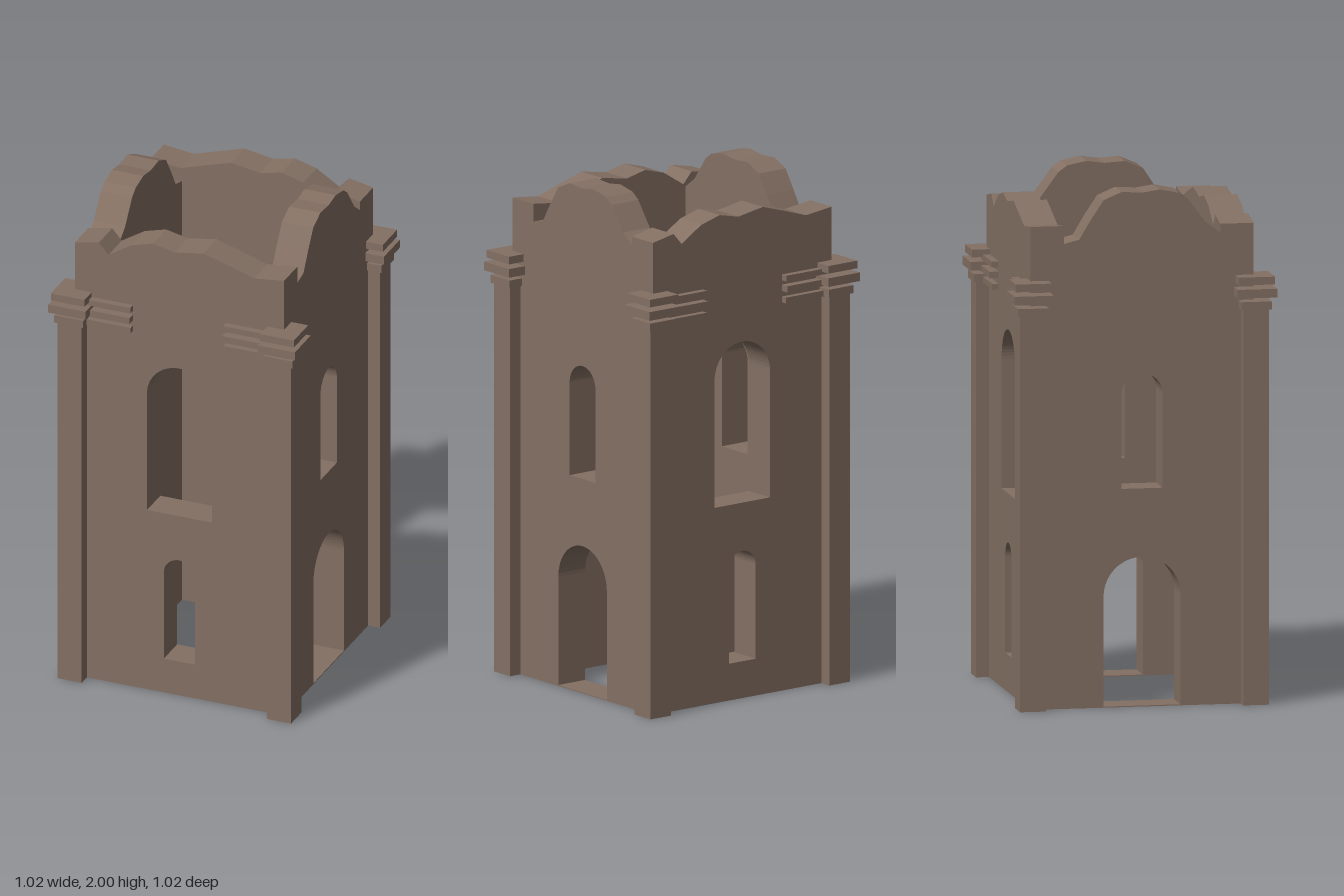
import * as THREE from 'three';

const OUT = 0.435, THICK = 0.13, IN = OUT - THICK;

// Round-headed opening: half width, sill height, crown height
function archHole(w, y0, y1) {
  const p = new THREE.Path();
  p.moveTo(-w, y0);
  p.lineTo(w, y0);
  p.lineTo(w, y1 - w);
  p.absarc(0, y1 - w, w, 0, Math.PI, false);
  p.lineTo(-w, y0);
  return p;
}

// Wall with a ruined top edge (left to right) and arched openings
function wallGeometry(half, top, holes) {
  const s = new THREE.Shape();
  s.moveTo(-half, 0);
  s.lineTo(half, 0);
  for (const [x, y] of [...top].reverse()) s.lineTo(x, y);
  s.closePath();
  s.holes = holes;
  const g = new THREE.ExtrudeGeometry(s, { depth: THICK, bevelEnabled: false, curveSegments: 16 });
  g.translate(0, 0, IN);
  return g;
}

export function createModel() {
  const root = new THREE.Group();
  root.name = 'ruinedTower';
  const brick = new THREE.MeshStandardMaterial({ color: 0x847063 });
  brick.name = 'weathered brick';

  const add = (parent, name, geo) => {
    const m = new THREE.Mesh(geo, brick);
    m.name = name;
    parent.add(m);
    return m;
  };
  const box = (parent, name, w, h, d, x, y, z) =>
    add(parent, name, new THREE.BoxGeometry(w, h, d)).position.set(x, y, z);

  // Front and back walls: broad upper window, narrow lower window
  const frontGeo = wallGeometry(OUT, [
    [-OUT, 1.86], [-0.335, 1.88], [-0.295, 1.835], [-0.2, 1.895], [-0.11, 1.92],
    [-0.02, 1.9], [0.1, 1.92], [0.2, 1.89], [0.31, 1.855], [OUT, 1.87],
  ], [archHole(0.135, 0.77, 1.405), archHole(0.065, 0.145, 0.58)]);

  // Side walls: higher rounded crest, doorway below a small window
  const sideGeo = wallGeometry(IN, [
    [-IN, 1.8], [-0.245, 1.815], [-0.2, 1.89], [-0.15, 1.965], [-0.08, 1.995], [0, 1.99],
    [0.07, 2], [0.145, 1.985], [0.18, 1.96], [0.25, 1.865], [IN, 1.825],
  ], [archHole(0.15, 0.004, 0.58), archHole(0.08, 0.845, 1.29)]);

  add(root, 'frontWall', frontGeo);
  add(root, 'backWall', frontGeo).rotation.y = Math.PI;
  add(root, 'leftWall', sideGeo).rotation.y = Math.PI / 2;
  add(root, 'rightWall', sideGeo).rotation.y = -Math.PI / 2;

  // Corner pilasters with stacked capitals and short cornice strips
  const capitals = [[1.532, 1.563, 0.06], [1.58, 1.614, 0.0775], [1.63, 1.66, 0.07]];
  const strips = [[1.53, 1.553, 0.46], [1.575, 1.6, 0.47], [1.617, 1.64, 0.463]];
  for (const sx of [-1, 1]) for (const sz of [-1, 1]) {
    const corner = new THREE.Group();
    corner.name = 'cornerPilaster';
    root.add(corner);
    box(corner, 'pilasterShaft', 0.1, 1.532, 0.1, sx * OUT, 0.766, sz * OUT);
    for (const [a, b, r] of capitals)
      box(corner, 'capitalSlab', 2 * r, b - a, 2 * r, sx * OUT, (a + b) / 2, sz * OUT);
    for (const [a, b, z] of strips)
      box(corner, 'corniceStrip', 0.205, b - a, z - 0.42, sx * 0.295, (a + b) / 2, sz * (z + 0.42) / 2);
  }
  return root;
}
